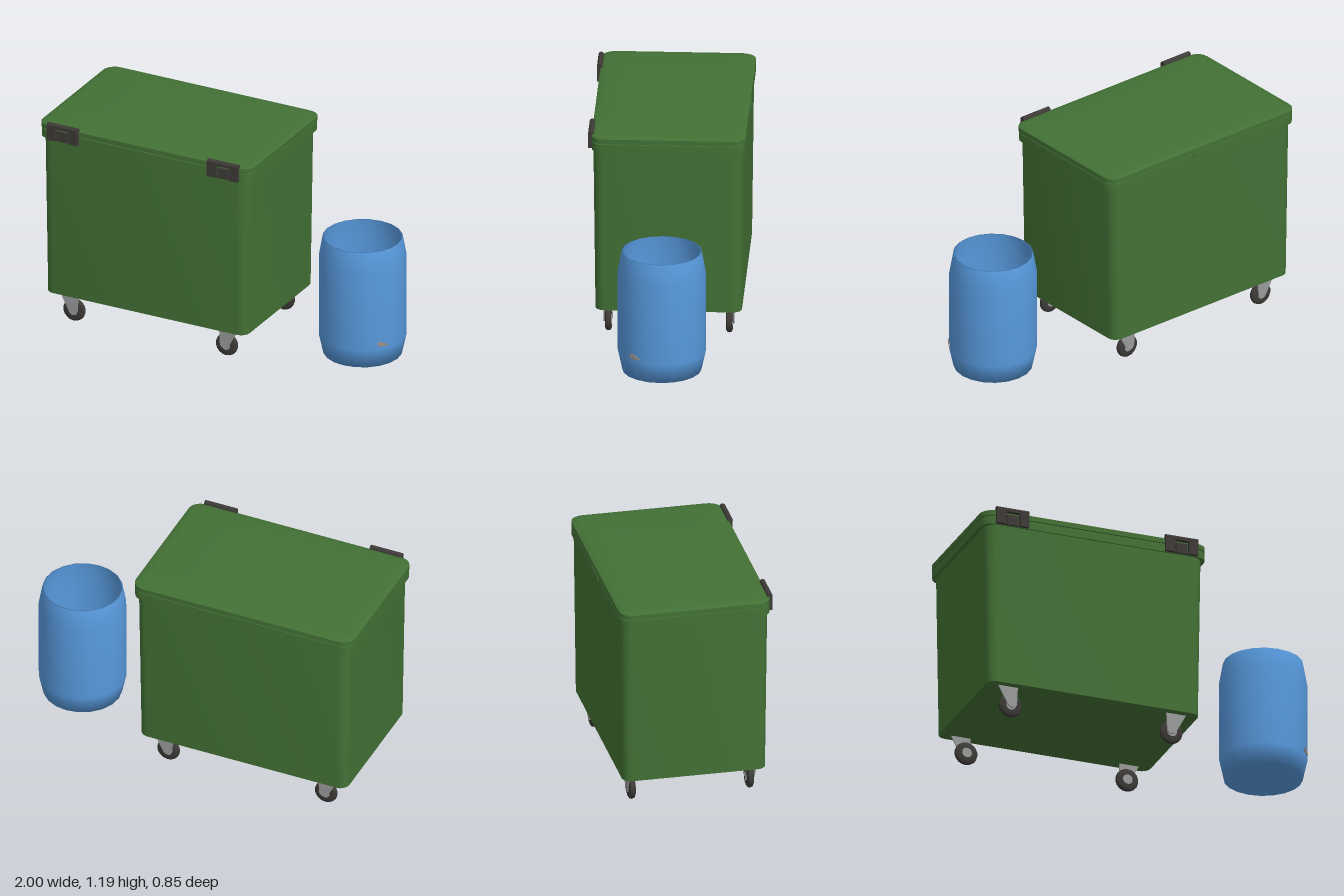
import * as THREE from 'three';
import { toCreasedNormals } from 'three/addons/utils/BufferGeometryUtils.js';

const CX = -0.355, CZ = -0.01; // centre of the wheeled container

const mat = (name, color, side = THREE.FrontSide) => {
  const m = new THREE.MeshStandardMaterial({ color, side });
  m.name = name;
  return m;
};

function add(parent, name, geometry, material, x = 0, y = 0, z = 0) {
  const mesh = new THREE.Mesh(geometry, material);
  mesh.name = name;
  mesh.position.set(x, y, z);
  parent.add(mesh);
  return mesh;
}

// Points of a rounded rectangle with half sizes w and d and corner radius r
function roundedRing(w, d, r, steps = 5) {
  const points = [];
  for (let corner = 0; corner < 4; corner++) {
    const sx = corner === 0 || corner === 3 ? 1 : -1;
    const sz = corner < 2 ? 1 : -1;
    for (let i = 0; i <= steps; i++) {
      const a = (corner + i / steps) * Math.PI / 2;
      points.push([sx * (w - r) + r * Math.cos(a), sz * (d - r) + r * Math.sin(a)]);
    }
  }
  return points;
}

// Skin over rounded rectangles listed from bottom to top: [w, d, r, y, arch, scale]
function loft(rings, crease = 0.5) {
  const pos = [], index = [];
  let n = 0;
  rings.forEach(([w, d, r, y, arch = 0, scale = 1]) => {
    const ring = roundedRing(w, d, r);
    n = ring.length;
    for (const [x, z] of ring) {
      const px = x * scale;
      pos.push(px, y + arch * (1 - (px / 0.63) ** 2), z * scale);
    }
  });
  for (let i = 0; i < rings.length - 1; i++) {
    for (let j = 0; j < n; j++) {
      const a = i * n + j, b = i * n + (j + 1) % n;
      index.push(a, b + n, b, a, a + n, b + n);
    }
  }
  const g = new THREE.BufferGeometry();
  g.setAttribute('position', new THREE.Float32BufferAttribute(pos, 3));
  g.setIndex(index);
  return toCreasedNormals(g, crease);
}

const shapeOf = (pts) => new THREE.Shape(pts.map(([x, y]) => new THREE.Vector2(x, y)));

export function createModel() {
  const green = mat('green plastic', 0x437135);
  const blue = mat('blue plastic', 0x589ade, THREE.DoubleSide);
  const dark = mat('dark rubber', 0x3d3a37);
  const metal = mat('grey metal', 0x999a9b);
  const tan = mat('tan tag', 0xa08c80);

  const model = new THREE.Group();
  model.name = 'containerAndBarrel';
  const bin = new THREE.Group();
  bin.name = 'wheeledContainer';
  bin.position.set(CX, 0, CZ);
  model.add(bin);

  // Slightly tapered body with a closed floor
  add(bin, 'body', loft([
    [0.608, 0.393, 0.05, 0.168, 0, 0],
    [0.608, 0.393, 0.05, 0.168],
    [0.622, 0.404, 0.06, 1.1],
  ]), green);

  // Rim around the mouth
  add(bin, 'rim', loft([
    [0.6, 0.38, 0.06, 1.088],
    [0.643, 0.412, 0.065, 1.088],
    [0.643, 0.412, 0.065, 1.134],
    [0.6, 0.38, 0.06, 1.134],
  ]), green);
  add(bin, 'rimGap', loft([
    [0.634, 0.404, 0.062, 1.13],
    [0.634, 0.404, 0.062, 1.145],
  ]), green);

  // Arched lid
  add(bin, 'lid', loft([
    [0.6, 0.38, 0.06, 1.139],
    [0.645, 0.413, 0.067, 1.139],
    [0.645, 0.413, 0.067, 1.166],
    [0.635, 0.403, 0.065, 1.172],
    [0.60, 0.375, 0.06, 1.175, 0.013],
    [0.60, 0.375, 0.06, 1.175, 0.013, 0.7],
    [0.60, 0.375, 0.06, 1.175, 0.013, 0.4],
    [0.60, 0.375, 0.06, 1.175, 0.013, 0],
  ]), green);

  // Grip on the back edge of the lid
  add(bin, 'lidGrip', new THREE.BoxGeometry(0.15, 0.02, 0.012), green, 0, 1.13, -0.411);

  // Two hinges: slotted plate, top roll and centre knuckle
  for (const x of [-0.84, 0.133]) {
    const hinge = new THREE.Group();
    hinge.name = 'hinge';
    hinge.position.set(x - CX, 0, 0.405 - CZ);
    bin.add(hinge);
    const plate = shapeOf([
      [-0.093, 1.09], [-0.04, 1.09], [-0.04, 1.163], [0.04, 1.163],
      [0.04, 1.09], [0.093, 1.09], [0.093, 1.178], [-0.093, 1.178],
    ]);
    add(hinge, 'hingePlate', new THREE.ExtrudeGeometry(plate, { depth: 0.022, bevelEnabled: false }),
      dark, 0, 0, -0.006);
    const roll = new THREE.CylinderGeometry(0.015, 0.015, 0.186, 12);
    roll.rotateZ(Math.PI / 2);
    add(hinge, 'hingeRoll', roll, dark, 0, 1.174, 0.002);
    add(hinge, 'hingeKnuckle', new THREE.BoxGeometry(0.062, 0.058, 0.016), dark, 0, 1.119, 0.002);
    add(hinge, 'hingeBar', new THREE.BoxGeometry(0.08, 0.014, 0.01), dark, 0, 1.097, 0);
  }

  // Four casters, mirrored left to right and front to back
  const tyreProfile = [[0.028, -0.017], [0.052, -0.017], [0.062, -0.011], [0.065, 0],
    [0.062, 0.011], [0.052, 0.017], [0.028, 0.017]].map(([r, y]) => new THREE.Vector2(r, y));
  const tyre = toCreasedNormals(new THREE.LatheGeometry(tyreProfile, 18).rotateX(Math.PI / 2), 0.6);
  const hub = new THREE.CylinderGeometry(0.03, 0.03, 0.03, 16).rotateX(Math.PI / 2);
  for (const sx of [-1, 1]) {
    for (const sz of [-1, 1]) {
      const caster = new THREE.Group();
      caster.name = 'caster';
      caster.position.set(sx * 0.463, 0.066, sz > 0 ? 0.317 - CZ : -0.332 - CZ);
      bin.add(caster);
      add(caster, 'tyre', tyre, dark);
      add(caster, 'hub', hub, metal);
      // Skewed bracket plate on the outer face of the wheel
      const pts = [[0.078, 0.104], [-0.035, 0.104], [-0.03, 0], [-0.018, -0.015], [0.006, -0.015], [0.022, 0]];
      const outline = shapeOf(pts.map(([x, y]) => [sx * x, y]));
      add(caster, 'bracket', new THREE.ExtrudeGeometry(outline, { depth: 0.008, bevelEnabled: false }),
        metal, 0, 0, sz > 0 ? 0.018 : -0.026);
    }
  }

  // Open barrel with tapered ends and a thin wall
  const barrel = new THREE.Group();
  barrel.name = 'barrel';
  barrel.position.set(0.763, 0, 0);
  model.add(barrel);
  const profile = [[0, 0.04], [0.213, 0.04], [0.237, 0.15], [0.237, 0.6], [0.216, 0.718],
    [0.209, 0.718], [0.229, 0.6], [0.229, 0.15], [0.205, 0.05], [0, 0.05]]
    .map(([r, y]) => new THREE.Vector2(r, y));
  add(barrel, 'barrelShell', new THREE.LatheGeometry(profile, 20), blue);

  // Small tag on the barrel wall
  const tag = shapeOf([[-0.034, 0.004], [-0.02, -0.011], [0.015, -0.011], [0.034, -0.008], [0.008, 0.004], [-0.004, 0.013], [-0.026, 0.012]]);
  const angle = 0.96;
  add(barrel, 'barrelTag', new THREE.ExtrudeGeometry(tag, { depth: 0.006, bevelEnabled: false }),
    tan, 0.234 * Math.sin(angle), 0.178, 0.234 * Math.cos(angle)).rotation.y = angle;

  return model;
}
